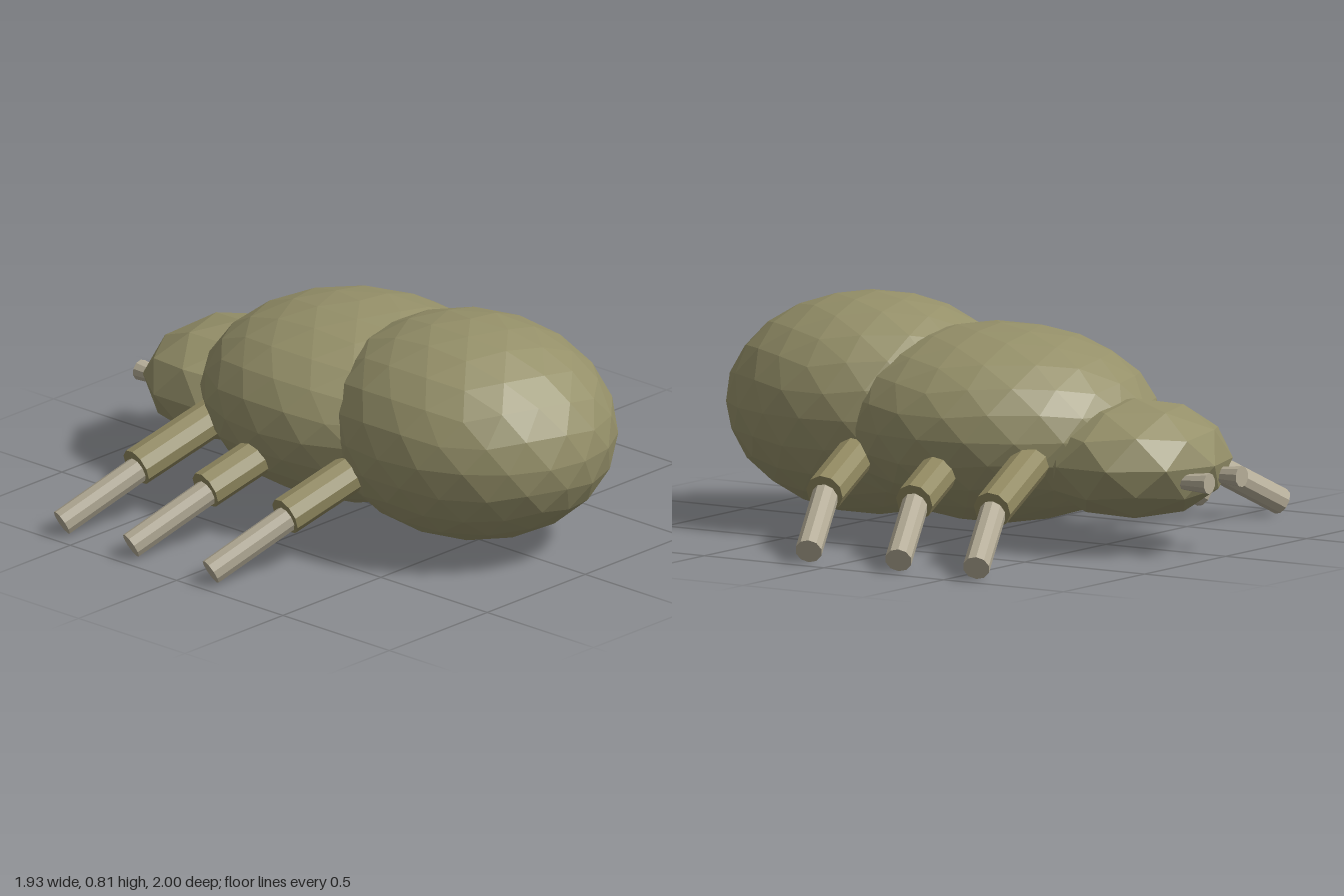
import * as THREE from 'three';

const mat = (name, color) => {
  const m = new THREE.MeshStandardMaterial({ color, flatShading: true });
  m.name = name;
  return m;
};

// Pole-up icosphere, subdivided by repeated halving, scaled to an ellipsoid
function ellipsoid(name, material, halvings, radii, centre) {
  let geo = new THREE.IcosahedronGeometry(1, 0);
  geo.rotateZ(-Math.atan(2 / (1 + Math.sqrt(5))));
  for (let i = 0; i < halvings; i++) {
    const verts = Array.from(geo.attributes.position.array);
    geo = new THREE.PolyhedronGeometry(verts, [...Array(verts.length / 3).keys()], 1, 1);
  }
  geo.scale(...radii);
  geo.computeVertexNormals();
  const mesh = new THREE.Mesh(geo, material);
  mesh.name = name;
  mesh.position.set(...centre);
  return mesh;
}

// Faceted cylinder running from point a to point b
function rod(name, material, a, b, ra, rb = ra) {
  const from = new THREE.Vector3(...a), to = new THREE.Vector3(...b);
  const dir = to.clone().sub(from);
  const mesh = new THREE.Mesh(new THREE.CylinderGeometry(rb, ra, dir.length(), 10), material);
  mesh.name = name;
  mesh.position.copy(from).add(to).multiplyScalar(0.5);
  mesh.quaternion.setFromUnitVectors(new THREE.Vector3(0, 1, 0), dir.normalize());
  return mesh;
}

export function createModel() {
  const model = new THREE.Group();
  model.name = 'beetle';
  const shell = mat('olive shell', 0x959069);
  const thigh = mat('dark olive leg', 0x918960);
  const pale = mat('pale limb', 0xb3ab96);

  // Body
  model.add(
    ellipsoid('abdomen', shell, 2, [0.477, 0.388, 0.54], [0, 0.412, 0.46]),
    ellipsoid('thorax', shell, 2, [0.52, 0.346, 0.58], [0, 0.386, -0.06]),
    ellipsoid('head', shell, 1, [0.35, 0.21, 0.335], [0, 0.305, -0.62]),
  );

  for (const [side, s] of [['left', 1], ['right', -1]]) {
    // Three legs on each side, angled out and down
    [-0.485, -0.16, 0.215].forEach((z, i) => {
      const leg = new THREE.Group();
      leg.name = `${side}Leg${i + 1}`;
      leg.add(
        rod('upperLeg', thigh, [s * 0.3, 0.33, z + 0.075], [s * 0.68, 0.196, z], 0.068),
        rod('lowerLeg', pale, [s * 0.64, 0.205, z + 0.015], [s * 0.94, 0.035, z - 0.11], 0.047),
      );
      model.add(leg);
    });
    // Stubby feeler, wider at the tip
    model.add(rod(`${side}Feeler`, pale, [s * 0.107, 0.255, -0.8], [s * 0.1, 0.26, -1], 0.018, 0.037));
  }
  return model;
}
